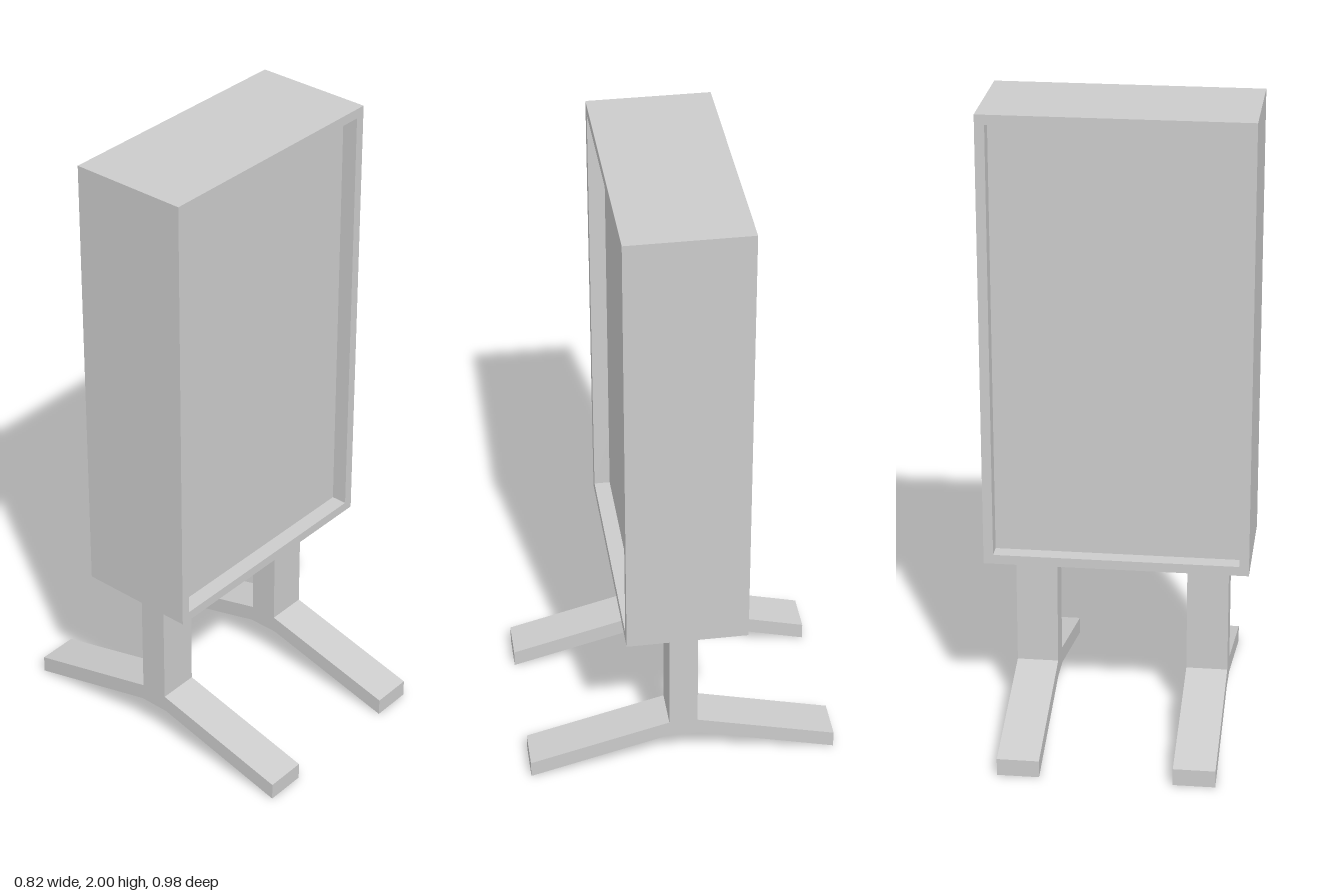
import * as THREE from 'three';

const material = new THREE.MeshStandardMaterial({ color: 0xcccccc, flatShading: true });

function rectPoints(x0, y0, x1, y1) {
  return [[x0, y0], [x1, y0], [x1, y1], [x0, y1]].map(([x, y]) => new THREE.Vector2(x, y));
}

function addMesh(parent, name, geometry) {
  const mesh = new THREE.Mesh(geometry, material);
  mesh.name = name;
  parent.add(mesh);
  return mesh;
}

export function createModel() {
  const model = new THREE.Group();
  model.name = 'displayStand';

  // Cabinet: deep rectangular frame, open to the front and back
  const width = 0.82, bottom = 0.57, top = 2, depth = 0.376, rim = 0.03, recess = 0.05;
  const outline = new THREE.Shape(rectPoints(-width / 2, bottom, width / 2, top));
  outline.holes.push(new THREE.Path(
    rectPoints(-width / 2 + rim, bottom + rim, width / 2 - rim, top - rim).reverse()));
  const frame = new THREE.ExtrudeGeometry(outline, { depth, bevelEnabled: false });
  frame.translate(0, 0, -depth / 2);
  addMesh(model, 'cabinetFrame', frame);

  // Display panel, recessed on both faces
  const panel = new THREE.BoxGeometry(width - 2 * rim, top - bottom - 2 * rim, depth - 2 * recess);
  addMesh(model, 'displayPanel', panel).position.y = (top + bottom) / 2;

  // Legs: a post splitting into two sloping feet, drawn as half a side profile and mirrored
  const half = [[0.045, bottom], [0.045, 0.17], [0.488, 0.055], [0.488, 0], [0.05, 0.115]];
  const mirrored = half.map(([z, y]) => [-z, y]).reverse();
  const profile = new THREE.Shape([...half, ...mirrored].map(([z, y]) => new THREE.Vector2(z, y)));
  const legWidth = 0.13;
  const leg = new THREE.ExtrudeGeometry(profile, { depth: legWidth, bevelEnabled: false });
  leg.translate(0, 0, -legWidth / 2).rotateY(-Math.PI / 2);
  addMesh(model, 'rightLeg', leg).position.x = -0.274;
  addMesh(model, 'leftLeg', leg).position.x = 0.266;

  return model;
}
